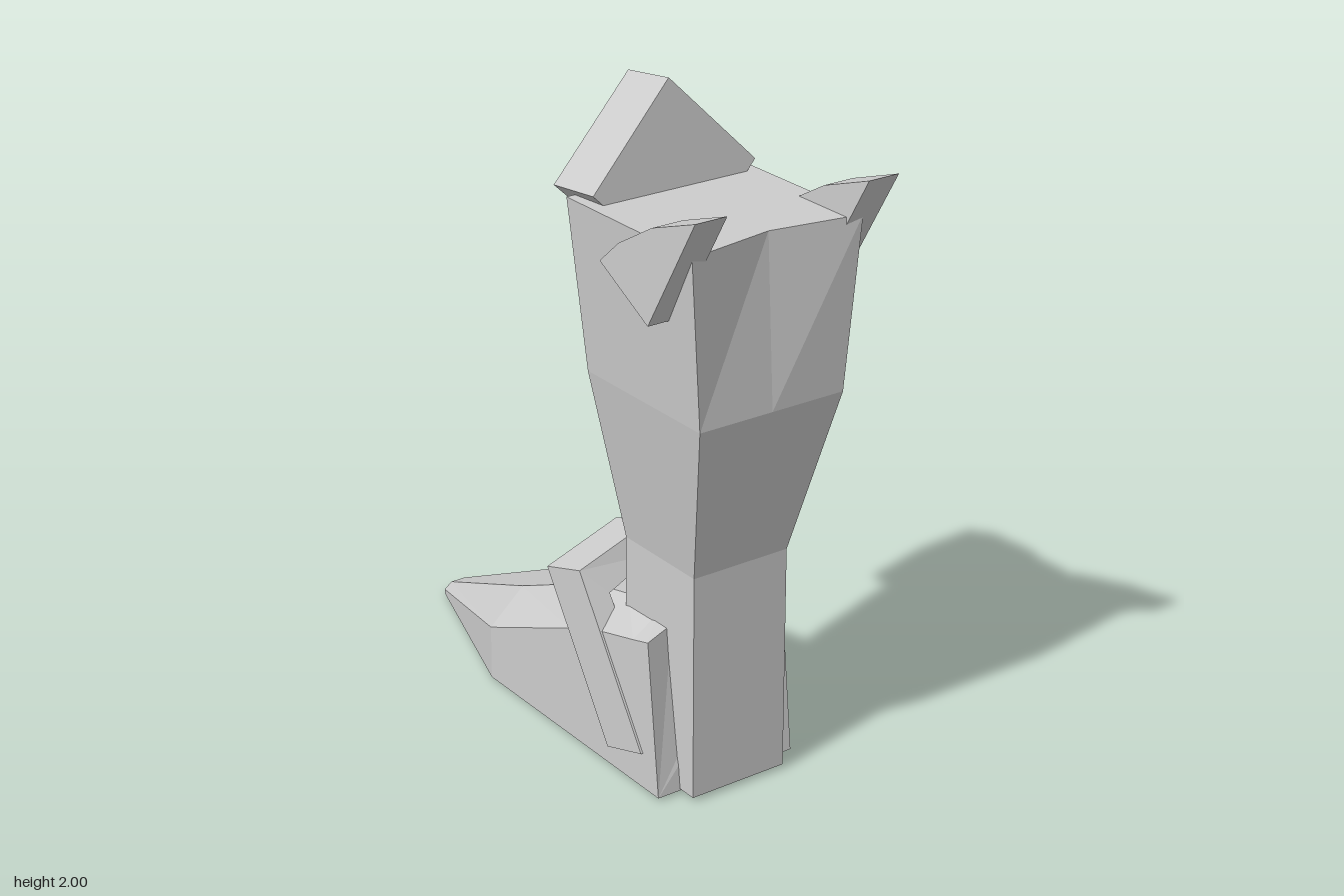
import * as THREE from 'three';
import { ConvexGeometry } from 'three/addons/geometries/ConvexGeometry.js';

const steel = new THREE.MeshStandardMaterial({ color: 0xcccccc, flatShading: true });
steel.name = 'steel grey';

// Skin a list of rings (each an array of [x, y, z]) and cap both ends.
function loft(rings) {
  const pos = [];
  const tri = (a, b, c) => pos.push(...a, ...b, ...c);
  const n = rings[0].length;
  for (let r = 0; r < rings.length - 1; r++) {
    for (let i = 0; i < n; i++) {
      const j = (i + 1) % n;
      const a = rings[r][i], b = rings[r][j], c = rings[r + 1][j], d = rings[r + 1][i];
      tri(b, a, d);
      tri(b, d, c);
    }
  }
  const first = rings[0], last = rings[rings.length - 1];
  for (let i = 1; i < n - 1; i++) {
    tri(first[0], first[i], first[i + 1]);
    tri(last[0], last[i + 1], last[i]);
  }
  const geo = new THREE.BufferGeometry();
  geo.setAttribute('position', new THREE.Float32BufferAttribute(pos, 3));
  geo.computeVertexNormals();
  return geo;
}

export function createModel() {
  const boot = new THREE.Group();
  boot.name = 'armoredBoot';
  const add = (name, geo) => {
    const mesh = new THREE.Mesh(geo, steel);
    mesh.name = name;
    boot.add(mesh);
    return mesh;
  };

  // Shin: y, half width, calf centre z, calf corner z, side edge z, ridge z
  const shin = [
    [1.7, 0.28, 0.715, 0.76, 0.2, 0.19],
    [1.2, 0.24, 0.75, 0.75, 0.24, 0.19],
    [0.7, 0.16, 0.627, 0.627, 0.31, 0.26],
    [0.015, 0.16, 0.635, 0.635, 0.31, 0.28],
  ].map(([y, w, zc, zb, zf, zr]) => [
    [0, y, zc], [w, y, zb], [w, y, zf], [0, y, zr], [-w, y, zf], [-w, y, zb],
  ]);
  add('shinGuard', loft(shin));

  // Shoe: half width, sole z/y, side edge z/y, top half width, top z/y
  const shoe = [
    [0.236, 0.575, 0.01, 0.52, 0.48, 0.14, 0.5, 0.5],
    [0.236, 0.45, 0.01, 0.45, 0.46, 0.14, 0.43, 0.5],
    [0.236, 0.3, 0.01, 0.3, 0.42, 0.13, 0.28, 0.5],
    [0.236, 0.14, 0.01, 0.14, 0.36, 0.12, 0.09, 0.45],
    [0.236, -0.28, 0.01, -0.28, 0.18, 0.12, -0.28, 0.285],
    [0.05, -0.84, 0, -0.84, 0.015, 0.025, -0.84, 0.035],
  ].map(([w, zb, yb, zs, ys, k, zt, yt]) => [
    [-w, yb, zb], [w, yb, zb], [w, ys, zs], [k, yt, zt], [-k, yt, zt], [-w, ys, zs],
  ]);
  add('shoe', loft(shoe));

  // Ankle strap: a slanted band running up one side, over a peak and down the other
  const strap = [
    [0.243, 0.12, 0.5, 0.17, 0.12, 0.5],
    [0.243, 0.572, 0.2, 0.17, 0.5, 0.245],
    [0, 0.66, 0.2, 0, 0.57, 0.23],
    [-0.243, 0.572, 0.2, -0.17, 0.5, 0.245],
    [-0.243, 0.12, 0.5, -0.17, 0.12, 0.5],
  ].map(([x, y, z, u, v, s]) => [
    [x, y, z], [u, v, s], [u, v - 0.053, s - 0.163], [x, y - 0.053, z - 0.163],
  ]);
  add('ankleStrap', loft(strap));

  // Rivet on the outer side only
  const rivet = add('strapRivet', new THREE.CylinderGeometry(0.055, 0.055, 0.06, 20));
  rivet.rotation.z = -Math.PI / 2;
  rivet.position.set(0.241, 0.177, 0.397);

  // Knee plate: diamond block with a raised centre
  add('kneePlate', new ConvexGeometry([
    [0, 2, 0.275], [0.27, 1.73, 0.31], [-0.27, 1.73, 0.31], [0, 1.46, 0.345],
    [0, 1.975, 0.09], [0.27, 1.71, 0.125], [-0.27, 1.71, 0.125], [0, 1.447, 0.165],
    [0, 1.7, 0.058],
  ].map((p) => new THREE.Vector3(...p))));

  // Swept fins beside the calf
  const outline = new THREE.Shape([
    [0.838, 1.825], [0.64, 1.485], [0.425, 1.6], [0.51, 1.675], [0.655, 1.76],
  ].map((p) => new THREE.Vector2(...p)));
  for (const [name, x] of [['leftFin', 0.33], ['rightFin', -0.23]]) {
    const fin = new THREE.ExtrudeGeometry(outline, { depth: 0.1, bevelEnabled: false });
    fin.rotateY(-Math.PI / 2);
    fin.translate(x, 0, 0);
    add(name, fin);
  }

  return boot;
}
